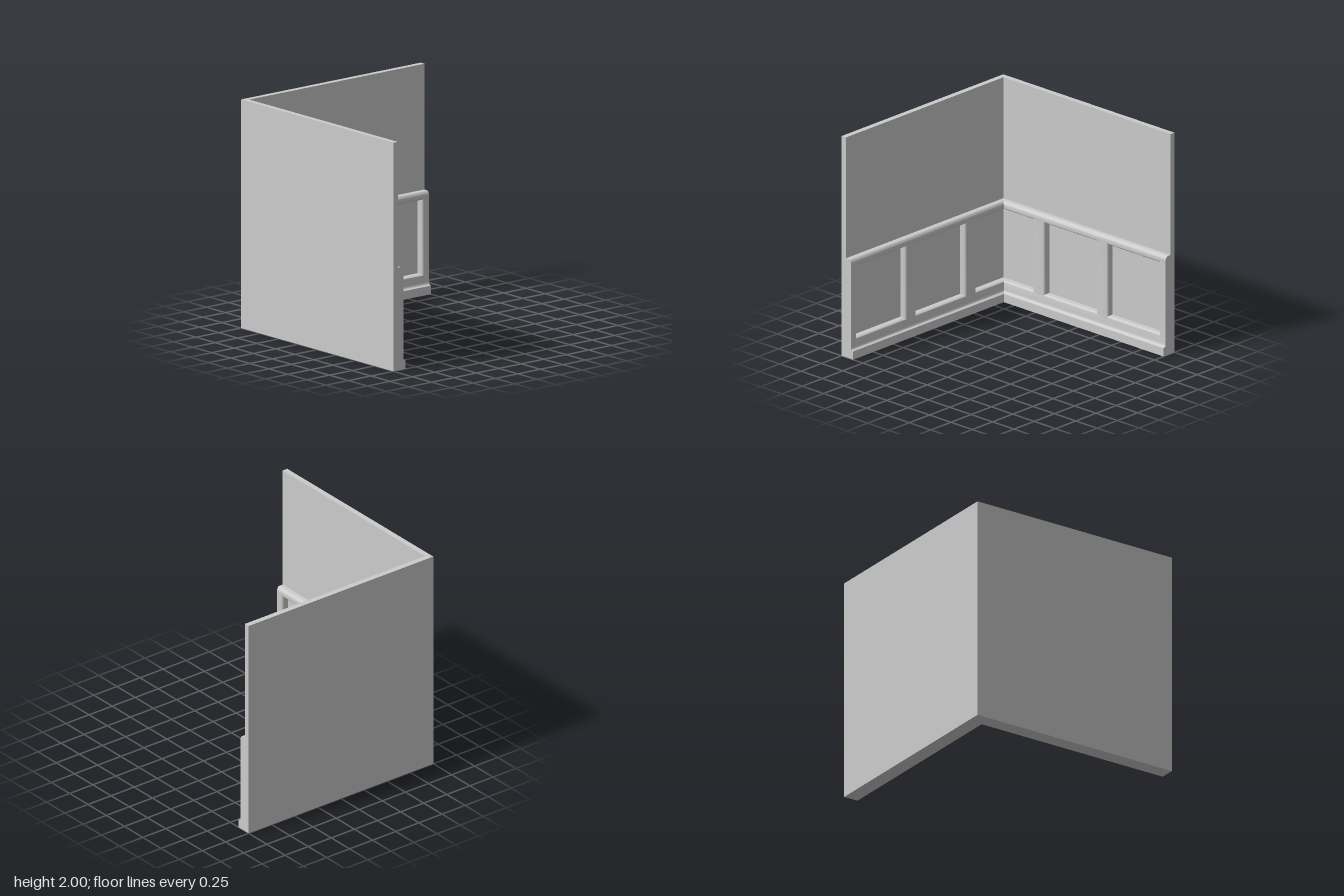
import * as THREE from 'three';
import { toCreasedNormals } from 'three/addons/utils/BufferGeometryUtils.js';

const WALL = 0.05;   // wall thickness
const FRAME = 0.11;  // depth of the panelling face, from the back of the wall
const LIP = 0.015;   // width of the rounded edge around each panel
const LIP_D = 0.08;  // depth at which the rounded edge turns straight back

const material = new THREE.MeshStandardMaterial({ color: 0xcccccc });

function extrude(shape, depth) {
  return new THREE.ExtrudeGeometry(shape, { depth, bevelEnabled: false, curveSegments: 6 });
}

function addMesh(group, name, geometry) {
  const mesh = new THREE.Mesh(toCreasedNormals(geometry, 0.7), material);
  mesh.name = name;
  group.add(mesh);
}

// Chair rail and top of the frame; shapes run along (-depth, height)
function topRailShape() {
  const s = new THREE.Shape();
  s.moveTo(-WALL, 0.9);
  s.lineTo(-0.08, 0.9);
  s.bezierCurveTo(-0.097, 0.9, -FRAME, 0.885, -FRAME, 0.862);
  s.lineTo(-FRAME, 0.842);
  s.bezierCurveTo(-FRAME, 0.834, -0.097, 0.827, -LIP_D, 0.827);
  s.lineTo(-WALL, 0.827);
  return s;
}

// Bottom of the frame, cove and skirting board
function bottomRailShape() {
  const s = new THREE.Shape();
  s.moveTo(-WALL, 0.18);
  s.lineTo(-LIP_D, 0.18);
  s.bezierCurveTo(-0.097, 0.18, -FRAME, 0.173, -FRAME, 0.165);
  s.lineTo(-FRAME, 0.105);
  s.quadraticCurveTo(-FRAME, 0.079, -0.13, 0.079);
  s.lineTo(-0.136, 0.075);
  s.lineTo(-0.136, 0);
  s.lineTo(-WALL, 0);
  return s;
}

// Upright cross-section; each side is either rounded or cut square
function stileShape(x0, x1, round0, round1) {
  const s = new THREE.Shape();
  s.moveTo(x0, -WALL);
  if (round0) {
    s.lineTo(x0, -LIP_D);
    s.bezierCurveTo(x0, -0.097, x0 + LIP / 2, -FRAME, x0 + LIP, -FRAME);
  } else s.lineTo(x0, -FRAME);
  if (round1) {
    s.lineTo(x1 - LIP, -FRAME);
    s.bezierCurveTo(x1 - LIP / 2, -FRAME, x1, -0.097, x1, -LIP_D);
  } else s.lineTo(x1, -FRAME);
  s.lineTo(x1, -WALL);
  return s;
}

// One panelled wall along x with its back on z = -1; dir points to its free end
function createWing(name, dir, cornerStart) {
  const wing = new THREE.Group();
  wing.name = name;

  const length = 1 - cornerStart;
  const wall = new THREE.BoxGeometry(length, 2, WALL);
  wall.translate(dir * (1 + cornerStart) / 2, 1, -1 + WALL / 2);
  addMesh(wing, 'wall', wall);

  // Rails run into the other wall, so the mouldings meet in a mitre
  const railLength = 1.97;
  for (const [part, shape] of [['chairRail', topRailShape()], ['skirtingRail', bottomRailShape()]]) {
    const g = extrude(shape, railLength);
    g.rotateY(Math.PI / 2);
    g.translate(dir > 0 ? 1 - railLength : -1, 0, -1);
    addMesh(wing, part, g);
  }

  // Stiles between the recessed panels
  for (const [a, b] of [[-0.555, -0.415], [0.188, 0.325], [0.925, 1]]) {
    const x0 = dir > 0 ? a : -b;
    const x1 = dir > 0 ? b : -a;
    const g = extrude(stileShape(x0, x1, x0 > -1, x1 < 1), 0.71);
    g.rotateX(-Math.PI / 2);
    g.translate(0, 0.145, -1);
    addMesh(wing, 'stile', g);
  }
  return wing;
}

export function createModel() {
  const model = new THREE.Group();
  model.name = 'panelledCorner';
  model.add(createWing('backWall', 1, -1));
  const side = createWing('sideWall', -1, -1 + WALL);
  side.rotation.y = Math.PI / 2;
  model.add(side);
  return model;
}
